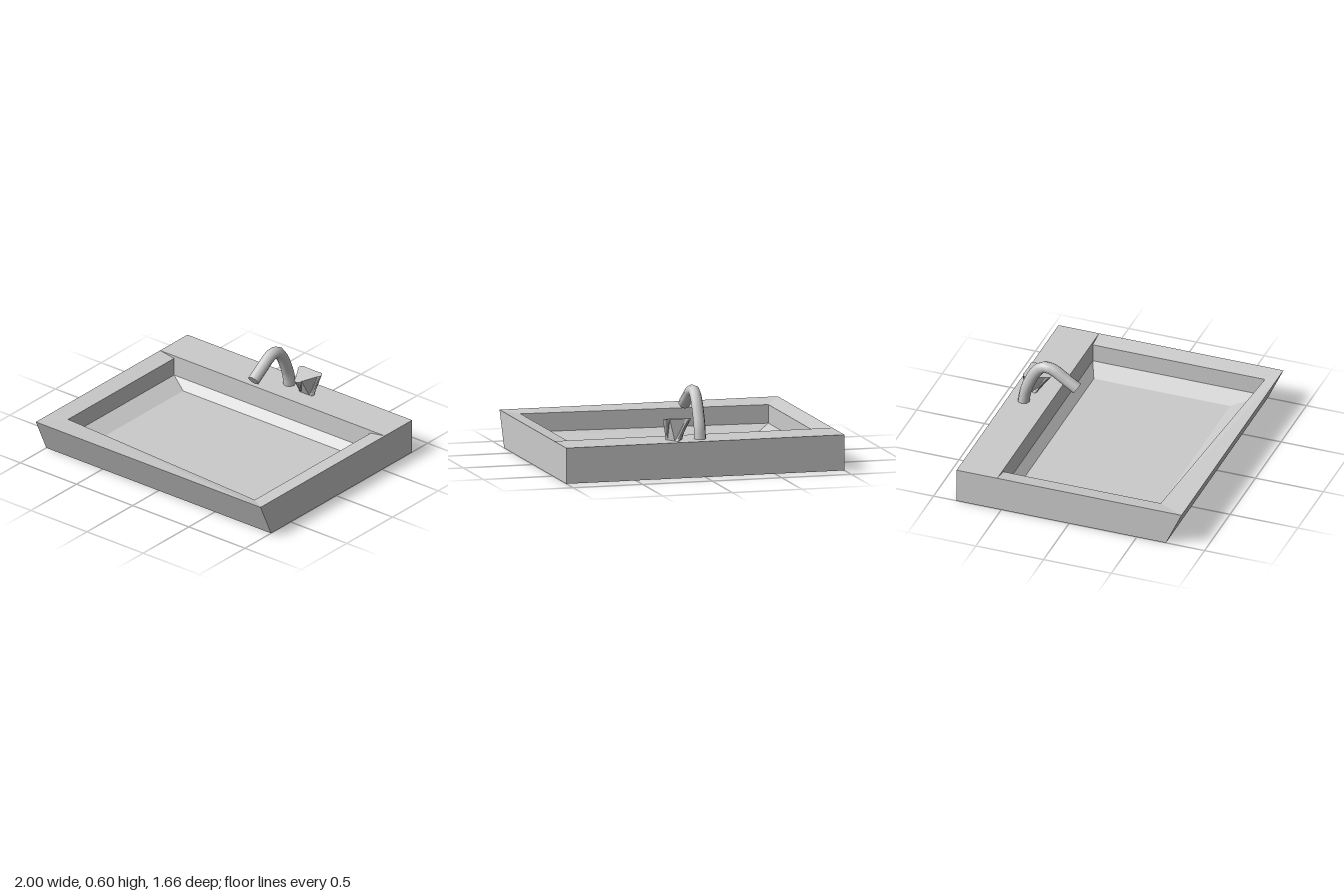
import * as THREE from 'three';

const material = new THREE.MeshStandardMaterial({ color: 0xcccccc });
const V = (x, y, z) => new THREE.Vector3(x, y, z);

// Flat-shaded mesh from a list of counter-clockwise polygons
function facetMesh(name, polygons) {
  const points = [];
  for (const p of polygons) {
    for (let i = 1; i < p.length - 1; i++) points.push(p[0], p[i], p[i + 1]);
  }
  const geometry = new THREE.BufferGeometry().setFromPoints(points);
  geometry.computeVertexNormals();
  const mesh = new THREE.Mesh(geometry, material);
  mesh.name = name;
  return mesh;
}

// Faces joining two matching rings
function band(a, b) {
  return a.map((p, i) => {
    const j = (i + 1) % a.length;
    return [p, b[i], b[j], a[j]];
  });
}

// Four corners: back right, back left, front left, front right
function ring(y, x, back, frontRight, frontLeft = frontRight) {
  return [V(-x, y, back), V(x, y, back), V(x, y, frontLeft), V(-x, y, frontRight)];
}

// Basin: slanted front, raised back deck, rim sloping into the bowl
function createBasin() {
  const bottom = ring(0, 1, -0.83, 0.715);
  const top = ring(0.25, 1, -0.83, 0.83);
  const rim = ring(0.25, 1, -0.53, 0.83);
  const lip = ring(0.23, 0.875, -0.53, 0.63, 0.74);
  const wall = ring(0.1, 0.875, -0.53, 0.63, 0.74);
  const floor = ring(0.04, 0.75, -0.475, 0.53);
  return facetMesh('basin', [
    bottom,
    ...band(bottom, top),
    [top[0], rim[0], rim[1], top[1]],
    ...band(rim, lip),
    ...band(lip, wall),
    ...band(wall, floor),
    [...floor].reverse(),
  ]);
}

// Spout: eight-sided bent pipe with a closed tip
function createSpout() {
  const x = 0.004, radius = 0.042;
  const path = [
    [0.245, -0.712], [0.33, -0.7], [0.4, -0.675], [0.492, -0.632], [0.548, -0.585],
    [0.562, -0.535], [0.545, -0.483], [0.49, -0.4], [0.436, -0.317],
  ].map(([y, z]) => V(x, y, z));
  const curve = new THREE.CatmullRomCurve3(path);
  const group = new THREE.Group();
  group.name = 'spout';
  const pipe = new THREE.Mesh(new THREE.TubeGeometry(curve, 14, radius, 8), material);
  pipe.name = 'spoutPipe';
  const tip = new THREE.Mesh(new THREE.CircleGeometry(radius, 8), material);
  tip.name = 'spoutTip';
  tip.position.copy(curve.getPoint(1));
  tip.lookAt(curve.getPoint(1).add(curve.getTangent(1)));
  group.add(pipe, tip);
  return group;
}

// Handle: three-lobed knob, twisted and narrowing to its foot
function createHandle() {
  function lobes(cx, cz, scale, twist, height) {
    const points = [];
    for (let k = 0; k < 3; k++) {
      const a = (k * 2 * Math.PI) / 3 + twist;
      for (let s = -3; s <= 3; s++) {
        const b = a + (s * Math.PI) / 6;
        const x = cx + scale * (0.084 * Math.sin(a) + 0.028 * Math.sin(b));
        const z = cz + scale * (0.084 * Math.cos(a) + 0.028 * Math.cos(b));
        points.push(V(x, height(z), z));
      }
    }
    return points;
  }
  const tilt = (z) => 0.392 - 0.144 * (z + 0.68);
  const top = lobes(0.174, -0.684, 1, 0, tilt);
  const foot = lobes(0.182, -0.708, 0.6, -Math.PI / 3, () => 0.248);
  const centre = V(0.174, tilt(-0.684), -0.684);
  const cap = top.map((p, i) => [centre, p, top[(i + 1) % top.length]]);
  return facetMesh('handle', [...band(top, foot), ...cap]);
}

export function createModel() {
  const model = new THREE.Group();
  model.name = 'washbasin';
  model.add(createBasin(), createSpout(), createHandle());
  return model;
}
